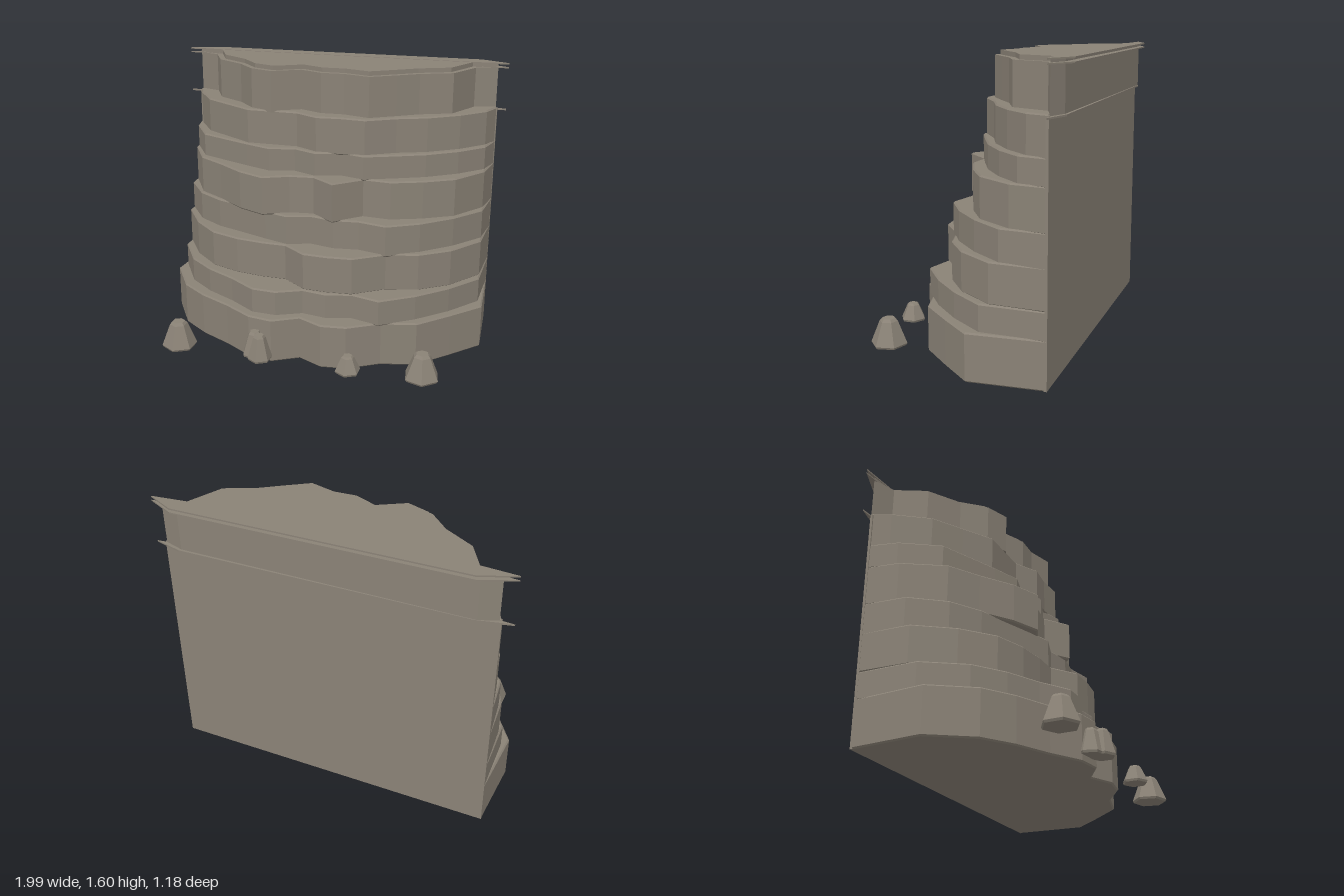
import * as THREE from 'three';

const stone = new THREE.MeshStandardMaterial({ color: 0x8a8276, flatShading: true });
stone.name = 'stone';

// Half stations across the cliff, from the edge to the middle
const WIDE = [0.95, 0.8, 0.64, 0.45, 0.28, 0.14];
const NARROW = [0.78, 0.69, 0.52, 0.41, 0.28, 0.13];
const BACK = [[0.945, -0.505], [-0.93, -0.505]];

// Each ledge: bottom, top, then the front depth from -x to +x
const LEDGES = [
  [0, 0.26, [-0.11, 0.12, 0.23, 0.32, 0.42, 0.44, 0.355, 0.42, 0.40, 0.29, 0.24, 0.07, -0.10]],
  [0.25, 0.405, [-0.16, 0.06, 0.18, 0.27, 0.375, 0.38, 0.31, 0.33, 0.29, 0.33, 0.20, 0.04, -0.15]],
  [0.4, 0.62, [-0.22, -0.02, 0.12, 0.18, 0.20, 0.20, 0.30, 0.305, 0.29, 0.17, 0.12, 0, -0.20]],
  [0.605, 0.79, [-0.26, -0.08, 0.02, 0.08, 0.14, 0.185, 0.14, 0.17, 0.15, 0.185, 0.08, -0.07, -0.25]],
  [0.78, 1.01, [-0.32, -0.10, 0, 0.12, 0.19, 0.12, 0.10, 0.20, 0.06, 0.07, 0, -0.10, -0.30]],
  [1.0, 1.145, [-0.34, -0.14, -0.07, 0, 0.06, 0.02, 0.08, 0.03, 0.07, 0, -0.08, -0.20, -0.34]],
  [1.13, 1.345, [-0.40, -0.22, -0.12, -0.02, -0.02, -0.02, 0.055, 0.04, 0.05, -0.05, -0.12, -0.24, -0.38]],
];
const TOP = [-0.49, -0.32, -0.21, -0.09, -0.04, -0.13, -0.07, -0.075, -0.03, -0.12, -0.20, -0.28, -0.49];

function frontLine(depths, t, grow = 0) {
  const half = WIDE.map((w, i) => w + (NARROW[i] - w) * t);
  const xs = [...half.map(x => -x), 0, ...half.slice().reverse()];
  return depths.map((z, i) => [xs[i] * (1 + grow) + 0.01, z + grow]);
}

// Horizontal slab with an [x, z] outline between two heights
function slab(name, outline, y0, y1, bevel = 0) {
  const shape = new THREE.Shape(outline.map(([x, z]) => new THREE.Vector2(x, -z)));
  const geo = new THREE.ExtrudeGeometry(shape, {
    depth: y1 - y0 - 2 * bevel, bevelEnabled: bevel > 0, bevelSize: bevel,
    bevelThickness: bevel, bevelOffset: -bevel, bevelSegments: 1,
  });
  geo.rotateX(-Math.PI / 2);
  geo.translate(0, y0 + bevel, 0);
  const mesh = new THREE.Mesh(geo, stone);
  mesh.name = name;
  return mesh;
}

// Six-sided boulder with a blunt tip
function boulder(x, z, r, h, turn) {
  const profile = [[0, 0], [r * 0.93, 0], [r, 0.012], [r * 0.5, h * 0.9], [r * 0.36, h], [0, h]]
    .map(p => new THREE.Vector2(...p));
  const mesh = new THREE.Mesh(new THREE.LatheGeometry(profile, 6), stone);
  mesh.position.set(x, 0.04, z);
  mesh.rotation.y = turn;
  mesh.name = 'boulder';
  return mesh;
}

export function createModel() {
  const model = new THREE.Group();
  model.name = 'terracedCliff';

  // Stepped rock ledges
  LEDGES.forEach(([y0, y1, depths], i) => {
    const line = frontLine(depths, i ? 0.08 + i * 0.045 : 0, i ? 0 : 0.012);
    model.add(slab('ledge' + (i + 1), [...line, ...BACK], y0, y1, 0.008));
  });

  // Smooth back wall closing the ledges
  model.add(slab('backWall', [[-0.93, -0.49], [0.945, -0.49], ...BACK], 0, 1.335));

  // Top ledge, standing out a little behind
  const topBack = [[0.935, -0.507], [0.82, -0.545], [-0.82, -0.545], [-0.92, -0.507]];
  model.add(slab('topLedge', [...frontLine(TOP, 1, 0.03), ...topBack], 1.335, 1.573));
  model.add(slab('cap', [...frontLine(TOP, 1), ...topBack], 1.573, 1.598));

  // Thin pointed rims along the rear
  const rim = z => [[-0.78, -0.49], [0.8, -0.49], [0.995, -0.51], [0.83, z - 0.005], [-0.81, z + 0.005], [-0.995, -0.507]];
  model.add(slab('lowerRim', rim(-0.553), 1.325, 1.334));
  model.add(slab('middleRim', rim(-0.588), 1.57, 1.577));
  model.add(slab('upperRim', rim(-0.588), 1.592, 1.6));

  // Boulders at the foot of the cliff
  [
    [-0.68, 0.49, 0.1, 0.155, 0], [-0.225, 0.46, 0.075, 0.145, 0.3], [-0.18, 0.505, 0.07, 0.15, 0],
    [0.33, 0.5, 0.072, 0.1, 0], [0.73, 0.45, 0.1, 0.15, 0.2],
  ].forEach(b => model.add(boulder(...b)));

  return model;
}
